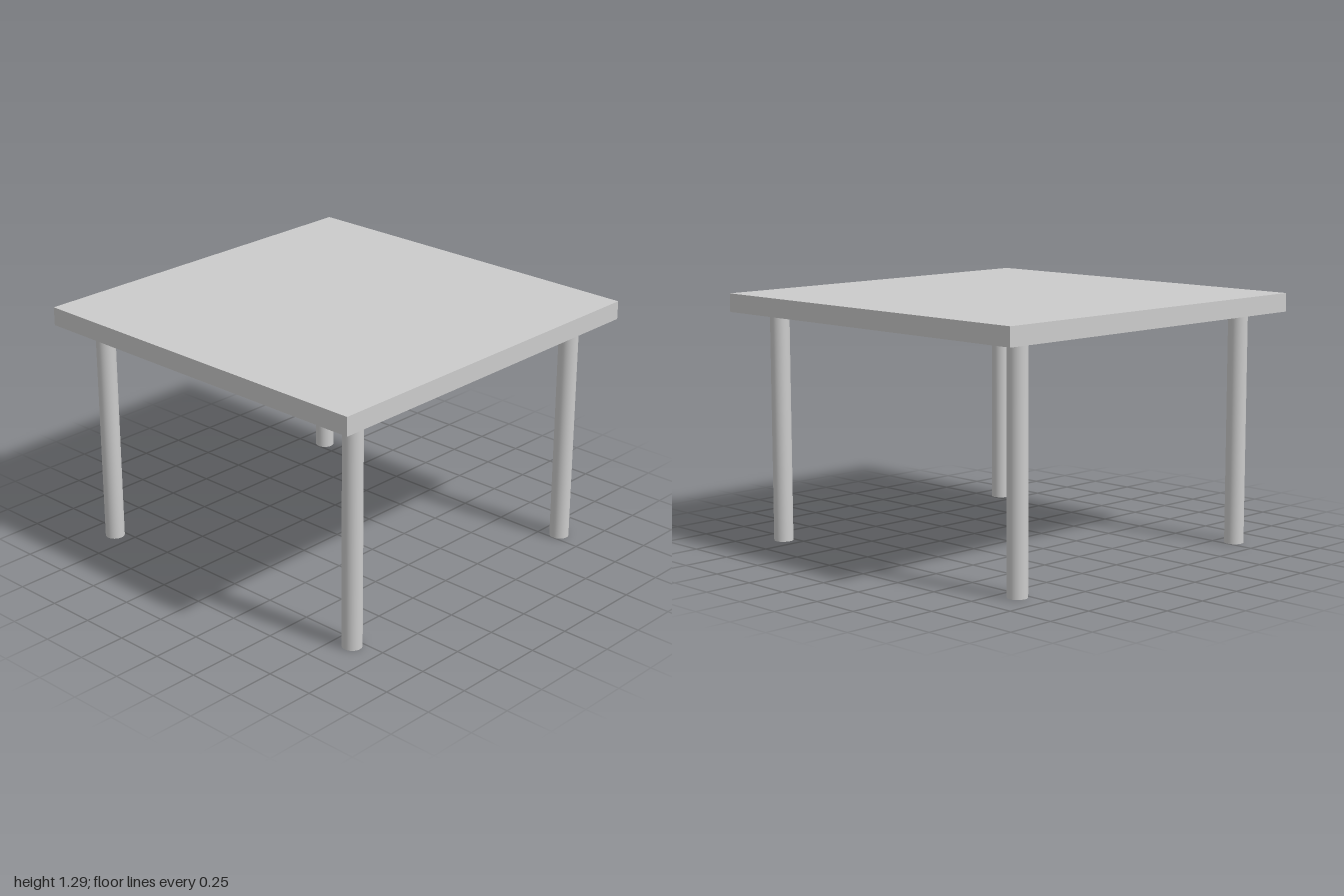
import * as THREE from 'three';

const TOP_Y = 1.29;      // upper face of the tabletop
const THICKNESS = 0.095;
const LEG_HEIGHT = TOP_Y - THICKNESS;
const LEG_RADIUS = 0.05;

export function createModel() {
  const table = new THREE.Group();
  table.name = 'table';
  const material = new THREE.MeshStandardMaterial({ color: 0xcccccc });

  // Square slab top
  const top = new THREE.Mesh(new THREE.BoxGeometry(2, THICKNESS, 2), material);
  top.name = 'tabletop';
  top.position.y = TOP_Y - THICKNESS / 2;
  table.add(top);

  // Four round legs, set in a little further at front and back
  const legGeometry = new THREE.CylinderGeometry(LEG_RADIUS, LEG_RADIUS, LEG_HEIGHT, 32);
  for (const [depth, z] of [['front', 0.8], ['back', -0.8]]) {
    for (const [side, x] of [['Left', 0.85], ['Right', -0.85]]) {
      const leg = new THREE.Mesh(legGeometry, material);
      leg.name = `${depth}${side}Leg`;
      leg.position.set(x, LEG_HEIGHT / 2, z);
      table.add(leg);
    }
  }
  return table;
}
